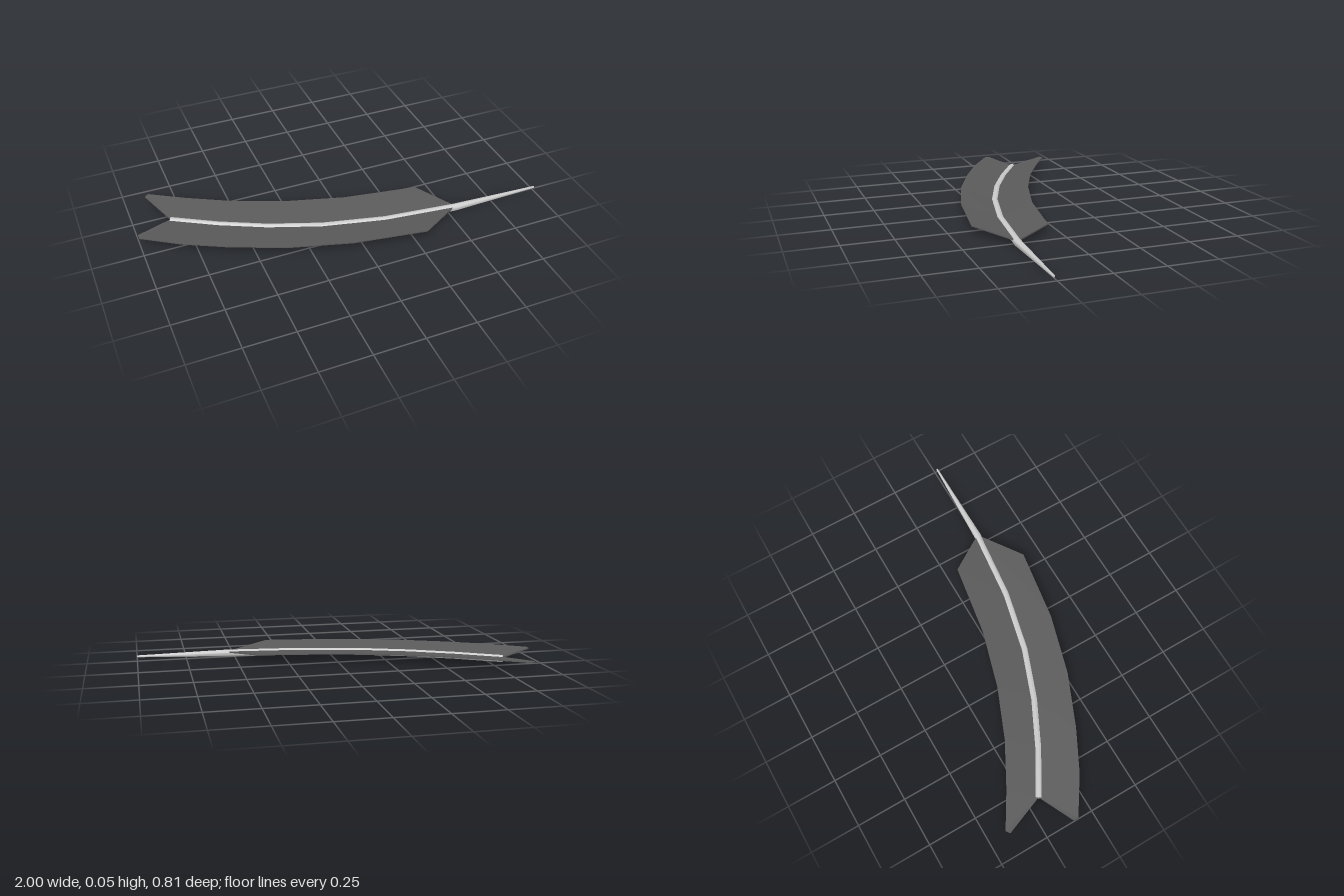
import * as THREE from 'three';
import { toCreasedNormals } from 'three/addons/utils/BufferGeometryUtils.js';

// Centre line of the quill, from the trailing end to the tip: x, z
const SPINE = [[-0.82, -0.19], [-0.61, -0.065], [-0.39, 0.045], [-0.14, 0.14], [0.17, 0.213], [0.54, 0.255], [1, 0.265]];

// Outer ends of each vane, one per station: x, z
const FRONT_EDGE = [[-1, -0.105], [-1, -0.08], [-0.82, 0.04], [-0.62, 0.145], [-0.36, 0.258], [-0.06, 0.345], [0.31, 0.402]];
const BACK_EDGE = [[-0.9, -0.395], [-0.88, -0.41], [-0.71, -0.305], [-0.5, -0.19], [-0.25, -0.085], [0.04, 0], [0.41, 0.06]];

// Skins a row of closed cross-sections and caps both ends
function loft(rings) {
  const pos = [];
  const tri = (...pts) => pts.forEach((p) => pos.push(...p));
  const n = rings[0].length;
  for (let i = 0; i < rings.length - 1; i++) {
    for (let j = 0; j < n; j++) {
      const k = (j + 1) % n;
      const a = rings[i][j], b = rings[i][k], c = rings[i + 1][k], d = rings[i + 1][j];
      tri(a, b, d);
      tri(b, c, d);
    }
  }
  const first = rings[0], last = rings[rings.length - 1];
  for (let j = 1; j < n - 1; j++) {
    tri(first[0], first[j + 1], first[j]);
    tri(last[0], last[j], last[j + 1]);
  }
  const geo = new THREE.BufferGeometry();
  geo.setAttribute('position', new THREE.Float32BufferAttribute(pos, 3));
  geo.computeVertexNormals();
  return geo;
}

// Round shaft that tapers beyond the vanes
function quillGeometry(sides = 16) {
  const rings = SPINE.map(([x, z], i) => {
    const p = SPINE[Math.max(i - 1, 0)], q = SPINE[Math.min(i + 1, SPINE.length - 1)];
    const t = new THREE.Vector2(q[0] - p[0], q[1] - p[1]).normalize();
    const tip = i === SPINE.length - 1;
    const r = tip ? 0.005 : 0.0185, y = tip ? 0.022 : 0.0185;
    return Array.from({ length: sides }, (_, j) => {
      const a = (j / sides) * Math.PI * 2;
      const s = Math.sin(a) * r;
      return [x - t.y * s, y + Math.cos(a) * r, z + t.x * s];
    });
  });
  return toCreasedNormals(loft(rings), 0.9);
}

// Thin slab rising from the quill to the outer edge
function vaneGeometry(edge, flip) {
  const rings = edge.map(([ox, oz], i) => {
    const [ix, iz] = SPINE[Math.max(i - 1, 0)];
    const ring = [[ix, 0.028, iz], [ox, 0.048, oz], [ox, 0.042, oz], [ix, 0.021, iz]];
    return flip ? ring.reverse() : ring;
  });
  return loft(rings);
}

export function createModel() {
  const group = new THREE.Group();
  group.name = 'feather';
  const quillMat = new THREE.MeshStandardMaterial({ color: 0xcccccc });
  const vaneMat = new THREE.MeshStandardMaterial({ color: 0x5a5a5a, flatShading: true });

  const add = (name, geo, mat) => {
    const mesh = new THREE.Mesh(geo, mat);
    mesh.name = name;
    group.add(mesh);
  };
  add('quill', quillGeometry(), quillMat);
  add('frontVane', vaneGeometry(FRONT_EDGE, false), vaneMat);
  add('backVane', vaneGeometry(BACK_EDGE, true), vaneMat);
  return group;
}
